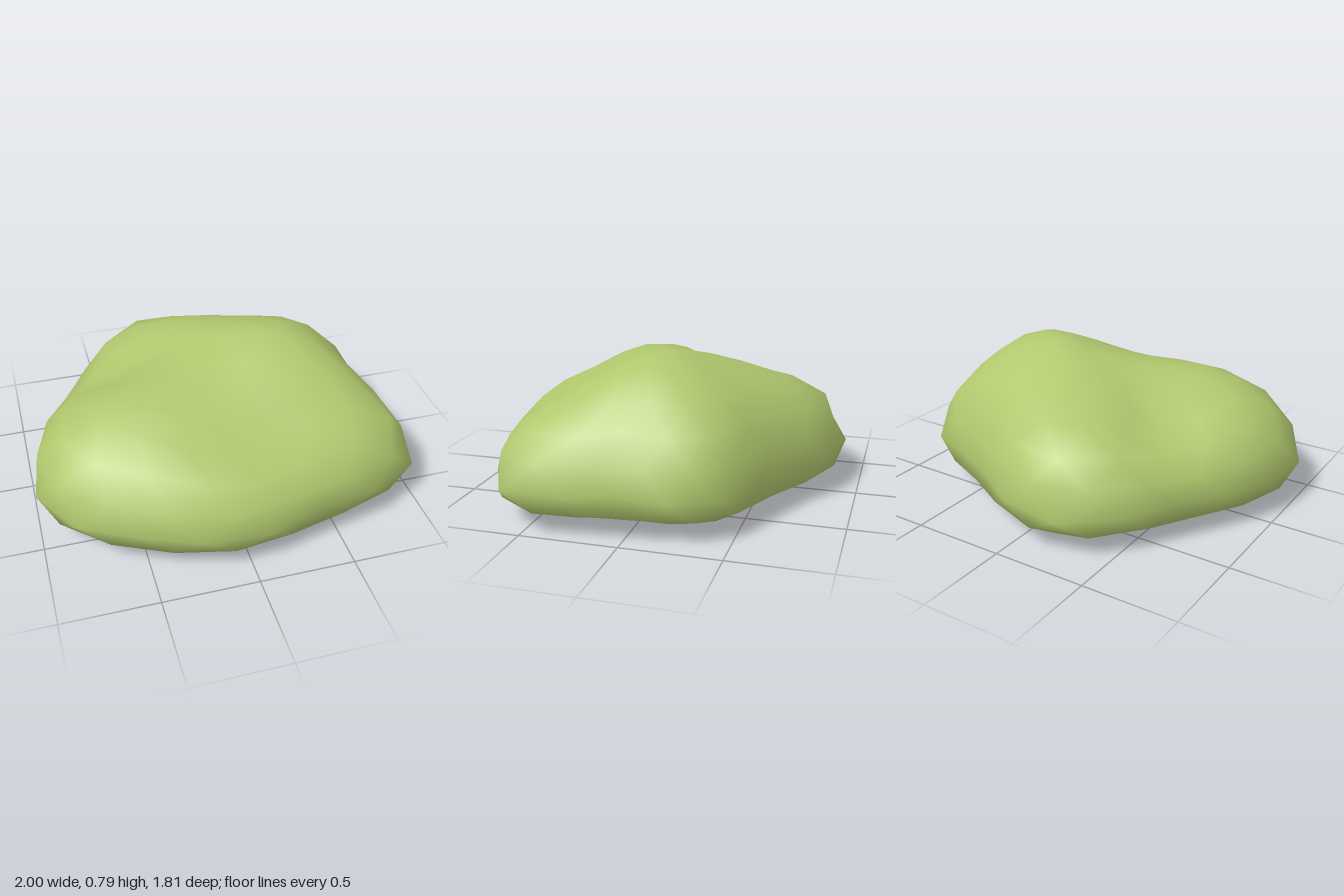
import * as THREE from 'three';

// Widest outline seen from above, [x, z], clockwise from the back
const OUTLINE = [
  [-0.28, -0.91], [0.07, -0.85], [0.34, -0.68], [0.57, -0.57], [0.84, -0.46],
  [0.95, -0.22], [0.92, 0.03], [1, 0.29], [0.98, 0.6], [0.69, 0.75],
  [0.37, 0.8], [0.07, 0.9], [-0.25, 0.88], [-0.54, 0.76], [-0.84, 0.6],
  [-1, 0.33], [-0.96, 0.03], [-0.83, -0.23], [-0.67, -0.44], [-0.54, -0.7],
];
// The same outline at its edge midpoints, for every second ring
const STAGGERED = OUTLINE.map(([x, z], i) => {
  const [nx, nz] = OUTLINE[(i + 1) % OUTLINE.length];
  return [(x + nx) / 2, (z + nz) / 2];
});

// Underside rings: [outline scale, height]
const UNDERSIDE = [[0.3, 0.012], [0.6, 0.045], [0.86, 0.08], [0.985, 0.112], [1, 0.21]];
// Upper rings: [outline scale, share of the crown height]
const UPPER = [[0.98, 0.37], [0.86, 0.71], [0.72, 0.91], [0.55, 0.985], [0.38, 1], [0.2, 1]];

const bump = (x, z, cx, cz, rx, rz) =>
  Math.exp(-(((x - cx) / rx) ** 2) - ((z - cz) / rz) ** 2);

// Crown height: a broad shelf, a long main hump, a left ridge and hollows between
const crown = (x, z) => 0.61
  + 0.175 * bump(x, z, 0.38, -0.01, 0.42, 0.34)
  + 0.055 * bump(x, z, 0.02, -0.25, 0.32, 0.3)
  + 0.06 * bump(x, z, -0.45, 0.25, 0.4, 0.25)
  - 0.12 * bump(x, z, 0.17, 0.65, 0.45, 0.23)
  - 0.14 * bump(x, z, -0.54, -0.28, 0.25, 0.25)
  - 0.025 * bump(x, z, 0, -0.75, 0.5, 0.2)
  - 0.07 * bump(x, z, 0.92, 0, 0.2, 0.5);

function boulderGeometry() {
  const n = OUTLINE.length;
  const points = [0.24, 0, -0.09]; // lowest point
  UNDERSIDE.forEach(([s, y], r) => {
    for (const [x, z] of r % 2 ? STAGGERED : OUTLINE) {
      points.push(x * s + 0.24 * (1 - s), y, z * s - 0.09 * (1 - s));
    }
  });
  UPPER.forEach(([s, share], r) => {
    for (const [ox, oz] of r % 2 ? OUTLINE : STAGGERED) {
      const x = ox * s + 0.12 * (1 - s), z = oz * s - 0.06 * (1 - s);
      points.push(x, 0.21 + (crown(x, z) - 0.21) * share, z);
    }
  });
  points.push(0.12, crown(0.12, -0.06), -0.06);

  // Triangles between neighbouring rings, each turned half a step
  const rings = UNDERSIDE.length + UPPER.length;
  const last = rings * n + 1;
  const index = [];
  for (let i = 0; i < n; i++) {
    const j = (i + 1) % n;
    index.push(0, 1 + i, 1 + j);
    for (let r = 0; r < rings - 1; r++) {
      const a = 1 + r * n + i, b = 1 + r * n + j;
      if (r % 2) index.push(a, a + n, b + n, a, b + n, b);
      else index.push(a, a + n, b, b, a + n, b + n);
    }
    index.push(last, last - n + j, last - n + i);
  }
  const geometry = new THREE.BufferGeometry();
  geometry.setAttribute('position', new THREE.Float32BufferAttribute(points, 3));
  geometry.setIndex(index);
  geometry.computeVertexNormals();
  return geometry;
}

export function createModel() {
  const group = new THREE.Group();
  group.name = 'mossyBoulder';
  const moss = new THREE.MeshStandardMaterial({ color: 0xb0c86e });
  moss.name = 'mossGreen';
  const body = new THREE.Mesh(boulderGeometry(), moss);
  body.name = 'boulder';
  group.add(body);
  return group;
}
